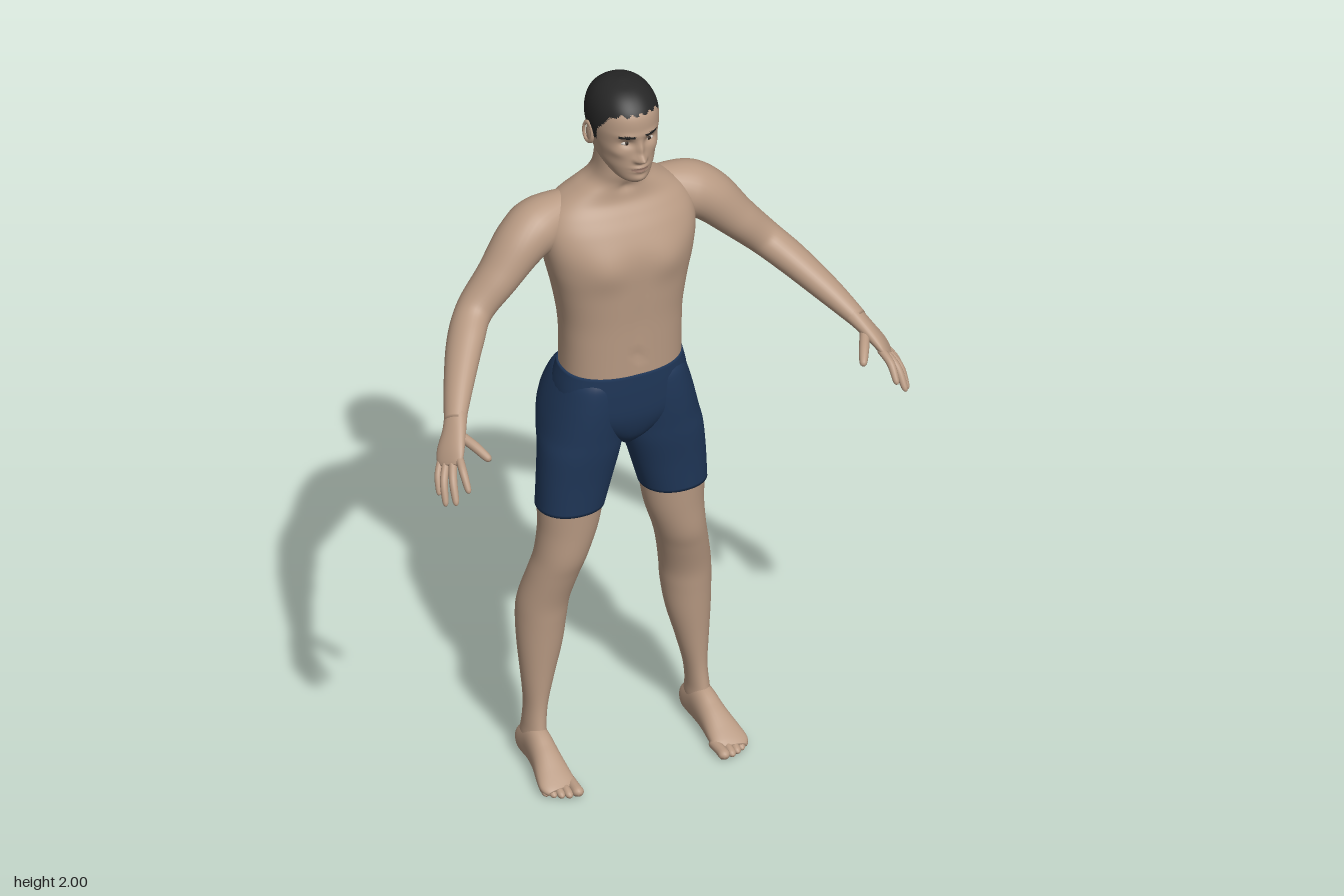
import * as THREE from 'three';

const paint = (name, color) => {
  const m = new THREE.MeshStandardMaterial({ color });
  m.name = name;
  return m;
};

// Catmull-Rom through rows of numbers, t from 0 to 1
function sample(rows, t) {
  const n = rows.length - 1, f = Math.min(t * n, n - 1e-6), i = Math.floor(f), k = f - i;
  const at = (j) => rows[Math.max(0, Math.min(n, j))];
  return rows[0].map((_, c) => {
    const [a, b, d, e] = [at(i - 1)[c], at(i)[c], at(i + 1)[c], at(i + 2)[c]];
    return b + 0.5 * k * (d - a + k * (2 * a - 5 * b + 4 * d - e + k * (3 * (b - d) + e - a)));
  });
}

// Skin over rows [x, y, z, radius along side, radius across]. Upright keeps every ring level.
function loft(rows, { side = [1, 0, 0], upright = false, seg = 32, rings = 48, power = 1, bumps = [], floor = false, region } = {}) {
  const pos = [], tris = [], p = new THREE.Vector3();
  const vec = (t) => new THREE.Vector3(...sample(rows, t).slice(0, 3));
  const push = () => {
    const d = new THREE.Vector3();
    for (const [bx, by, bz, rx, ry, rz, dx, dy, dz] of bumps) {
      for (const s of bx ? [1, -1] : [1]) {
        const w = Math.exp(-(((p.x - s * bx) / rx) ** 2) - ((p.y - by) / ry) ** 2 - ((p.z - bz) / rz) ** 2);
        d.add(new THREE.Vector3(s * dx, dy, dz).multiplyScalar(w));
      }
    }
    p.add(d);
    if (floor) p.y = Math.max(0, p.y);
    pos.push(p.x, p.y, p.z);
  };
  const round = (v) => Math.sign(v) * Math.abs(v) ** power;
  for (let i = 0; i <= rings; i++) {
    const t = i / rings, r = sample(rows, t), c = vec(t);
    const dir = upright ? new THREE.Vector3(0, Math.sign(rows.at(-1)[1] - rows[0][1]), 0)
      : vec(Math.min(1, t + 0.01)).sub(vec(Math.max(0, t - 0.01))).normalize();
    const u = new THREE.Vector3(...side);
    u.addScaledVector(dir, -u.dot(dir)).normalize();
    const v = dir.clone().cross(u);
    for (let j = 0; j < seg; j++) {
      const a = (j / seg) * Math.PI * 2;
      p.copy(c).addScaledVector(u, r[3] * round(Math.cos(a))).addScaledVector(v, r[4] * round(Math.sin(a)));
      push();
    }
  }
  for (const row of [rows[0], rows.at(-1)]) { p.set(row[0], row[1], row[2]); push(); }
  const first = (rings + 1) * seg, last = rings * seg;
  for (let j = 0; j < seg; j++) {
    const k = (j + 1) % seg;
    for (let i = 0; i < rings; i++) {
      const a = i * seg + j, b = i * seg + k;
      tris.push([a, b, a + seg], [b, b + seg, a + seg]);
    }
    tris.push([first, k, j], [first + 1, last + j, last + k]);
  }
  const g = new THREE.BufferGeometry();
  g.setAttribute('position', new THREE.Float32BufferAttribute(pos, 3));
  if (region) {
    // One geometry group for each painted region
    const sets = [];
    for (const t of tris) {
      const mid = [0, 1, 2].map((c) => t.reduce((s, q) => s + pos[q * 3 + c], 0) / 3);
      (sets[region(...mid)] ??= []).push(t);
    }
    let start = 0;
    sets.forEach((s, m) => { g.addGroup(start, s.length * 3, m); start += s.length * 3; });
    g.setIndex(sets.flat(2));
  } else g.setIndex(tris.flat());
  g.computeVertexNormals();
  return g;
}

// Rows [y, xMin, xMax, zBack, zFront] to loft rows; s mirrors
const level = (rows, s = 1) => rows.map(([y, a, b, c, d]) => [s * (a + b) / 2, y, (c + d) / 2, (b - a) / 2, (d - c) / 2]);
const centred = (rows) => level(rows.map(([y, w, c, d]) => [y, -w, w, c, d]));

const TORSO = [[1.16, 0.159, -0.228, -0.002], [1.25, 0.159, -0.226, 0], [1.32, 0.163, -0.235, 0.002], [1.4, 0.177, -0.245, 0.006],
  [1.47, 0.194, -0.25, 0.006], [1.53, 0.204, -0.254, 0], [1.58, 0.204, -0.252, -0.02], [1.62, 0.188, -0.244, -0.045],
  [1.65, 0.157, -0.232, -0.065], [1.68, 0.112, -0.215, -0.07], [1.705, 0.077, -0.203, -0.068], [1.74, 0.062, -0.19, -0.06], [1.8, 0.058, -0.18, -0.06]];
const TORSO_BUMPS = [[0, 1.37, -0.25, 0.025, 0.2, 0.08, 0, 0, 0.016], [0.085, 1.49, 0, 0.06, 0.05, 0.08, 0, 0, 0.011],
  [0.1, 1.53, -0.25, 0.05, 0.07, 0.06, 0, 0, -0.006], [0, 1.32, 0, 0.012, 0.12, 0.05, 0, 0, -0.004],
  [0, 1.225, 0, 0.01, 0.01, 0.05, 0, 0, -0.008], [0, 1.69, -0.06, 0.02, 0.015, 0.04, 0, 0, -0.008]];
const HEAD = [[1.742, 0.022, -0.075, -0.008], [1.757, 0.045, -0.12, 0.005], [1.79, 0.066, -0.185, 0.01], [1.82, 0.074, -0.203, 0.01],
  [1.86, 0.083, -0.214, 0.008], [1.9, 0.088, -0.217, 0.01], [1.94, 0.083, -0.206, 0.005], [1.97, 0.068, -0.183, -0.018],
  [1.99, 0.043, -0.152, -0.05], [2, 0.008, -0.108, -0.092]];
const HEAD_BUMPS = [[0, 1.823, 0.01, 0.011, 0.011, 0.05, 0, 0, 0.022], [0, 1.85, 0.01, 0.009, 0.024, 0.05, 0, 0, 0.012],
  [0.012, 1.819, 0.01, 0.007, 0.007, 0.04, 0, 0, 0.007], [0.031, 1.867, 0, 0.017, 0.011, 0.05, 0, 0, -0.011],
  [0.03, 1.89, 0, 0.025, 0.008, 0.05, 0, 0, 0.004], [0, 1.796, 0.01, 0.02, 0.005, 0.04, 0, 0, 0.006],
  [0, 1.784, 0.01, 0.017, 0.005, 0.04, 0, 0, 0.006], [0, 1.762, 0.01, 0.02, 0.011, 0.04, 0, 0, 0.006],
  [0.05, 1.84, -0.02, 0.018, 0.015, 0.04, 0.003, 0, 0.003]];
const HAIRLINE = [[-0.3, 1.772], [-0.2, 1.777], [-0.15, 1.8], [-0.13, 1.85], [-0.105, 1.875], [-0.1, 1.85], [-0.08, 1.855],
  [-0.07, 1.89], [-0.045, 1.92], [-0.02, 1.945], [0.1, 1.953]];
const PELVIS = [[0.93, 0.02, -0.16, -0.06], [0.97, 0.08, -0.2, -0.025], [1.03, 0.17, -0.235, -0.004], [1.1, 0.177, -0.243, 0.001], [1.168, 0.162, -0.231, 0.001]];
const SHORTS_LEG = [[0.765, 0.054, 0.231, -0.187, -0.027], [0.85, 0.03, 0.227, -0.193, -0.022], [0.93, 0.008, 0.22, -0.212, -0.014],
  [0.98, 0.001, 0.211, -0.248, -0.011], [1.03, -0.003, 0.201, -0.268, -0.008], [1.08, -0.003, 0.187, -0.265, -0.007],
  [1.13, 0.004, 0.168, -0.243, -0.01], [1.155, 0.02, 0.15, -0.215, -0.02]];
const LEG = [[0.03, 0.203, 0.254, -0.198, -0.09], [0.07, 0.198, 0.258, -0.195, -0.083], [0.11, 0.199, 0.254, -0.186, -0.093], [0.17, 0.192, 0.251, -0.184, -0.1],
  [0.25, 0.172, 0.257, -0.193, -0.098], [0.34, 0.148, 0.264, -0.21, -0.092], [0.42, 0.136, 0.266, -0.222, -0.086], [0.48, 0.129, 0.262, -0.216, -0.079],
  [0.56, 0.112, 0.245, -0.196, -0.058], [0.62, 0.095, 0.232, -0.186, -0.042], [0.7, 0.069, 0.225, -0.184, -0.035], [0.78, 0.054, 0.229, -0.183, -0.03]];
const FOOT = [[0.228, 0.03, -0.204, 0.012, 0.014], [0.228, 0.04, -0.18, 0.031, 0.038], [0.229, 0.055, -0.12, 0.033, 0.056], [0.232, 0.044, -0.06, 0.037, 0.045],
  [0.237, 0.027, 0, 0.046, 0.028], [0.239, 0.018, 0.032, 0.048, 0.018], [0.238, 0.013, 0.05, 0.036, 0.011]];
const ARM = [[0.11, 1.612, -0.165, 0.05, 0.05], [0.2, 1.583, -0.16, 0.074, 0.073], [0.26, 1.552, -0.147, 0.07, 0.067], [0.33, 1.478, -0.132, 0.059, 0.054],
  [0.402, 1.403, -0.118, 0.05, 0.046], [0.455, 1.355, -0.06, 0.05, 0.042], [0.515, 1.295, 0.03, 0.04, 0.034], [0.56, 1.245, 0.105, 0.03, 0.024]];
const PALM = [[0.55, 1.256, 0.09, 0.03, 0.024], [0.572, 1.228, 0.125, 0.034, 0.02], [0.594, 1.198, 0.153, 0.041, 0.017], [0.606, 1.176, 0.172, 0.039, 0.012], [0.612, 1.168, 0.18, 0.026, 0.007]];
// Each digit: base, middle joint, tip, radius
const DIGITS = {
  thumb: [[0.568, 1.226, 0.13], [0.541, 1.208, 0.182], [0.518, 1.185, 0.226], 0.013],
  indexFinger: [[0.586, 1.19, 0.184], [0.594, 1.172, 0.226], [0.595, 1.13, 0.264], 0.0105],
  middleFinger: [[0.597, 1.182, 0.172], [0.617, 1.148, 0.215], [0.625, 1.094, 0.252], 0.0108],
  ringFinger: [[0.608, 1.175, 0.158], [0.633, 1.137, 0.195], [0.642, 1.082, 0.226], 0.0102],
  littleFinger: [[0.617, 1.169, 0.143], [0.637, 1.14, 0.168], [0.645, 1.096, 0.192], 0.009],
};
const TOES = [[0.203, 0.086, 0.0145], [0.226, 0.08, 0.0105], [0.244, 0.072, 0.01], [0.261, 0.061, 0.0095], [0.276, 0.047, 0.009]];

function headRegion(x, y, z) {
  const i = HAIRLINE.findIndex((h) => h[0] > z), [a, b] = [HAIRLINE[i - 1], HAIRLINE[i]];
  const line = a[1] + ((b[1] - a[1]) * (z - a[0])) / (b[0] - a[0]);
  if (y > line + 0.004 * Math.sin(x * 260)) return 1;
  const ax = Math.abs(x);
  if (z > -0.06 && ax > 0.014 && ax < 0.052 && Math.abs(y - 1.889 + 3 * (ax - 0.034) ** 2) < 0.0045) return 1;
  if (z > -0.02 && ax < 0.024 && Math.abs(y - 1.79) < 0.008 - ax * 0.22) return 2;
  return 0;
}

export function createModel() {
  const skin = paint('skin', 0xb89a83), hair = paint('hair', 0x262626), cloth = paint('shorts fabric', 0x1f3657);
  const lip = paint('lips', 0xa28070), white = paint('eye white', 0xc9c2ba), dark = paint('iris', 0x2b2019);
  const model = new THREE.Group();
  model.name = 'swimmer';
  const add = (name, geometry, material) => {
    const mesh = new THREE.Mesh(geometry, material);
    mesh.name = name;
    model.add(mesh);
    return mesh;
  };
  const ball = (name, material, at, size) => {
    const b = add(name, new THREE.SphereGeometry(1, 20, 14), material);
    b.position.set(...at);
    b.scale.set(...size);
  };

  // Torso with neck, head with hair, seat of the shorts
  add('torso', loft(centred(TORSO), { upright: true, seg: 72, rings: 72, power: 0.86, bumps: TORSO_BUMPS }), skin);
  add('head', loft(centred(HEAD), { upright: true, seg: 112, rings: 90, power: 0.94, bumps: HEAD_BUMPS, region: headRegion }), [skin, hair, lip]);
  add('shortsSeat', loft(centred(PELVIS), { upright: true, seg: 48, rings: 24, power: 0.86 }), cloth);

  for (const s of [1, -1]) {
    const tag = s > 0 ? 'left' : 'right';
    const flip = (rows) => rows.map(([x, ...rest]) => [s * x, ...rest]);

    // Face details
    ball(tag + 'Eye', white, [s * 0.031, 1.866, -0.0125], [0.0135, 0.0055, 0.009]);
    ball(tag + 'Iris', dark, [s * 0.031, 1.8665, -0.006], [0.0052, 0.0052, 0.0035]);
    ball(tag + 'Ear', skin, [s * 0.083, 1.852, -0.112], [0.008, 0.031, 0.018]);
    const rim = add(tag + 'EarRim', new THREE.TorusGeometry(0.016, 0.004, 8, 24), skin);
    rim.position.set(s * 0.089, 1.856, -0.114);
    rim.rotation.y = Math.PI / 2 - s * 0.25;
    rim.scale.y = 1.7;

    // Leg and foot
    add(tag + 'ShortsLeg', loft(level(SHORTS_LEG, s), { upright: true, seg: 40, power: 0.92 }), cloth);
    add(tag + 'Leg', loft(level(LEG, s), { upright: true, seg: 36, rings: 60 }), skin);
    add(tag + 'Foot', loft(flip(FOOT), { power: 0.9, floor: true }), skin);
    TOES.forEach(([x, z, r], i) => {
      const rows = [[x - 0.002, 0.017, 0.015, r, r], [x, 0.016, z - 0.03, r, r], [x, r, z - 0.009, r, r * 0.9], [x, r * 0.8, z, r * 0.35, r * 0.3]];
      add(`${tag}Toe${i + 1}`, loft(flip(rows), { seg: 14, rings: 14, floor: true }), skin);
    });

    // Arm and hand
    const across = [s * 0.54, -0.4, -0.74];
    add(tag + 'Arm', loft(flip(ARM), { side: across, rings: 60 }), skin);
    add(tag + 'Palm', loft(flip(PALM), { side: across, rings: 24, power: 0.9 }), skin);
    for (const [name, [a, b, c, r]] of Object.entries(DIGITS)) {
      const near = b.map((v, i) => v + (c[i] - v) * 0.8);
      const rows = [[...a, r, r], [...b, r, r], [...near, r * 0.82, r * 0.78], [...c, r * 0.3, r * 0.3]];
      add(`${tag}-${name}`, loft(flip(rows), { side: across, seg: 14, rings: 18 }), skin);
    }
  }
  return model;
}
